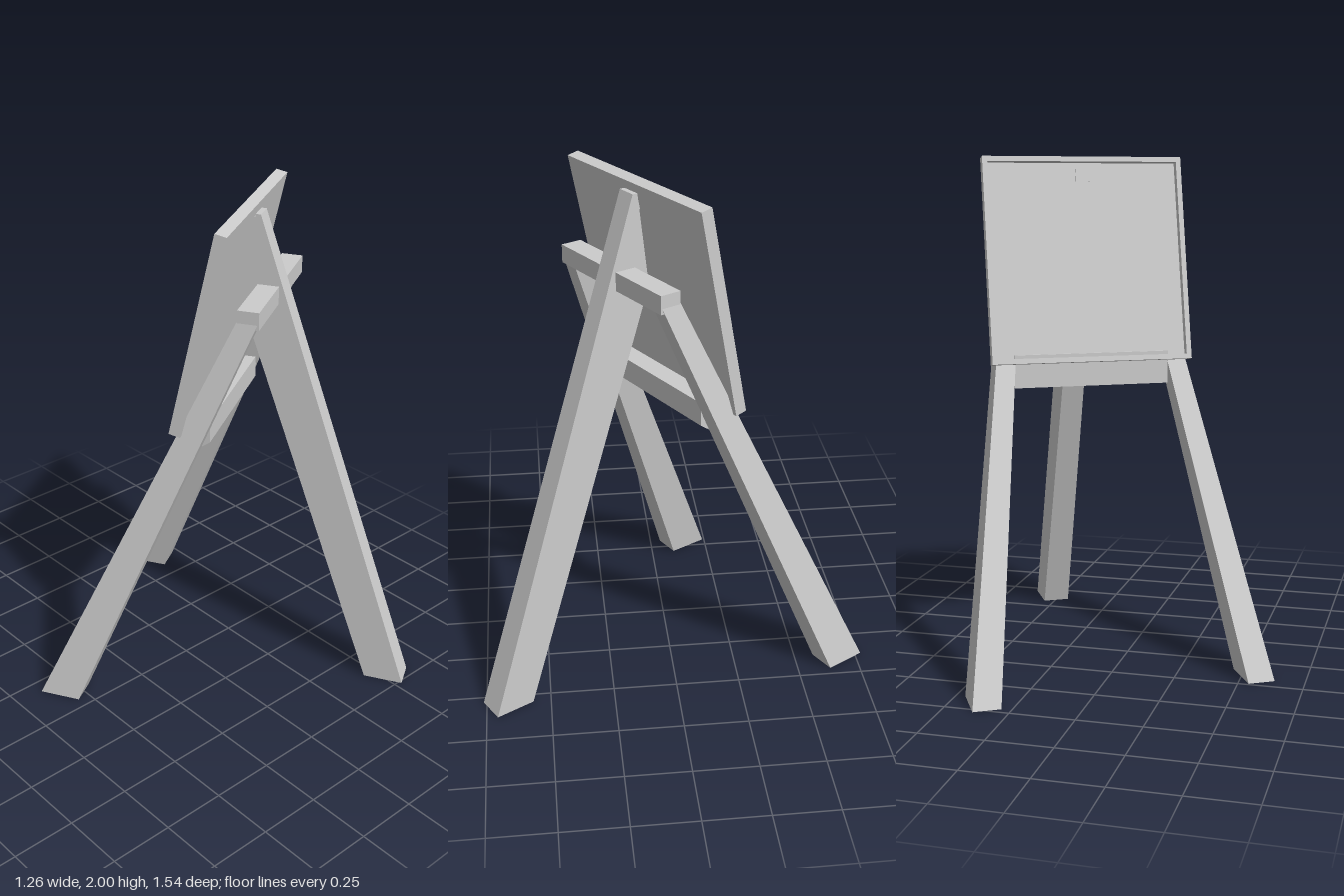
import * as THREE from 'three';

const lerp = THREE.MathUtils.lerp;

export function createModel() {
  const wood = new THREE.MeshStandardMaterial({ color: 0xcccccc });
  wood.name = 'plain grey';

  const root = new THREE.Group();
  root.name = 'easel';
  // The easel stands turned by 30 degrees; inside, it is symmetric about x = 0
  const easel = new THREE.Group();
  easel.name = 'easelBody';
  easel.position.set(0.114, 0, -0.066);
  easel.rotation.y = Math.PI / 6;
  root.add(easel);

  const add = (name, geometry, parent = easel) => {
    const mesh = new THREE.Mesh(geometry, wood);
    mesh.name = name;
    parent.add(mesh);
    return mesh;
  };

  // Side profile of [z, y] points, spread in x between left(y) and right(y)
  const prism = (profile, left, right) => {
    const shape = new THREE.Shape(profile.map(([z, y]) => new THREE.Vector2(z, y)));
    const geo = new THREE.ExtrudeGeometry(shape, { depth: 1, bevelEnabled: false });
    const p = geo.attributes.position;
    for (let i = 0; i < p.count; i++) {
      const z = p.getX(i), y = p.getY(i);
      p.setXYZ(i, lerp(right(y), left(y), p.getZ(i)), y, z);
    }
    geo.computeVertexNormals();
    return geo;
  };

  const box = (w, h, d, x, y, z) => new THREE.BoxGeometry(w, h, d).translate(x, y, z);

  // Two splayed legs, tapering towards the crossbar
  const legTop = 1.65;
  const legProfile = [[-0.48, 0], [-0.314, 0], [0.331, legTop], [0.252, legTop]];
  const outer = (y) => lerp(0.586, 0.311, y / legTop);
  const inner = (y) => lerp(0.479, 0.245, y / legTop);
  add('leftLeg', prism(legProfile, inner, outer));
  add('rightLeg', prism(legProfile, (y) => -outer(y), (y) => -inner(y)));

  // Single prop leg, leaning up to the back of the board
  const half = (y) => lerp(0.055, 0.039, y / 1.96);
  add('propLeg', prism(
    [[0.765, 0], [0.925, 0], [0.255, 1.96], [0.235, 1.96], [0.19, 1.61]],
    (y) => -half(y), half));

  // Crossbars
  add('upperCrossbar', box(0.625, 0.07, 0.083, 0, 1.655, 0.292));
  add('lowerCrossbar', prism(
    [[0.05, 1.1], [0.1, 1.1], [0.155, 1.14], [0.155, 1.23], [0.05, 1.23]],
    () => -0.3125, () => 0.3125));

  // Board: a thin tray with a raised rim, tilted back
  const board = new THREE.Group();
  board.name = 'board';
  board.position.set(0, 1.2, 0.021);
  board.rotation.x = 0.21;
  easel.add(board);
  const w = 0.81, h = 0.818, t = 0.046, rim = 0.02, recess = 0.03;
  add('boardPanel', box(w, h, t - recess, 0, h / 2, (t + recess) / 2), board);
  for (const y of [rim / 2, h - rim / 2]) {
    add('boardRimRail', box(w, rim, recess, 0, y, recess / 2), board);
  }
  for (const s of [-1, 1]) {
    add('boardRimSide', box(rim, h - 2 * rim, recess, s * (w - rim) / 2, h / 2, recess / 2), board);
  }
  // Peg joining the board to the prop leg
  add('peg', box(0.056, 0.05, 0.04, 0, h - 0.07, 0.045), board);

  return root;
}
